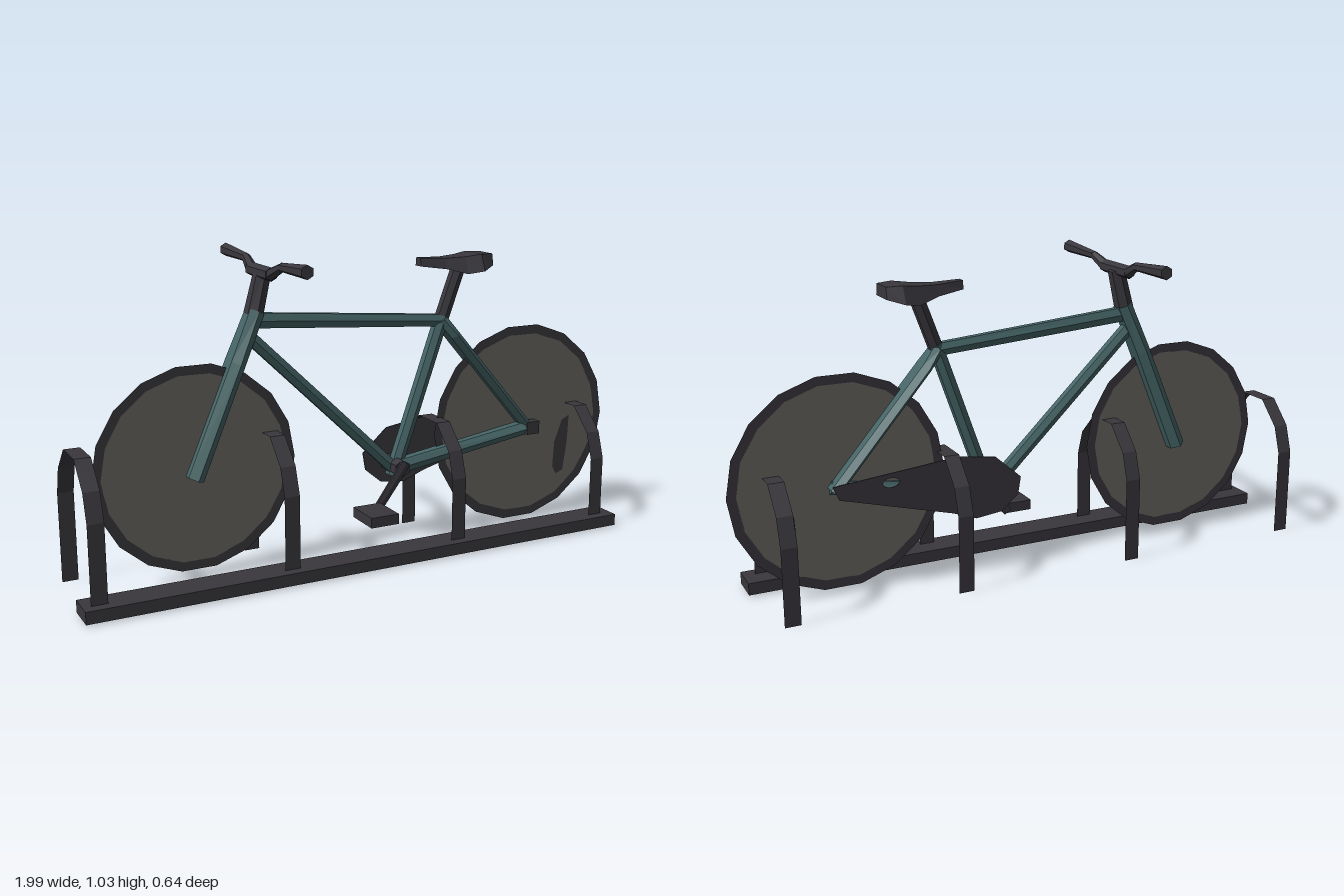
import * as THREE from 'three';

const dark = new THREE.MeshStandardMaterial({ color: 0x39373d, side: THREE.DoubleSide });
dark.name = 'charcoal';
const teal = new THREE.MeshStandardMaterial({ color: 0x456466 });
teal.name = 'frame teal';
const grey = new THREE.MeshStandardMaterial({ color: 0x676661, side: THREE.DoubleSide });
grey.name = 'wheel grey';

// Faceted normals
function facet(geo) {
  const g = geo.index ? geo.toNonIndexed() : geo;
  g.computeVertexNormals();
  return g;
}

// Closed skin through a row of equal-sized rings of points
function loft(rings) {
  const pos = [], n = rings[0].length, last = rings.length - 1;
  const tri = (a, b, c) => pos.push(...a, ...b, ...c);
  for (let i = 0; i < last; i++) {
    for (let j = 0; j < n; j++) {
      const k = (j + 1) % n, p = rings[i], q = rings[i + 1];
      tri(p[j], p[k], q[k]);
      tri(p[j], q[k], q[j]);
    }
  }
  for (let j = 1; j < n - 1; j++) {
    tri(rings[0][0], rings[0][j + 1], rings[0][j]);
    tri(rings[last][0], rings[last][j], rings[last][j + 1]);
  }
  const g = new THREE.BufferGeometry();
  g.setAttribute('position', new THREE.Float32BufferAttribute(pos, 3));
  return facet(g);
}

// Six-sided beam in the side plane; sections are [x, y, z, half thickness, half width]
function beam(sections) {
  const a = sections[0], b = sections[sections.length - 1];
  const len = Math.hypot(b[0] - a[0], b[1] - a[1]);
  const nx = -(b[1] - a[1]) / len, ny = (b[0] - a[0]) / len;
  const profile = [[1, -0.55], [1, 0.55], [0, 1], [-1, 0.55], [-1, -0.55], [0, -1]];
  return loft(sections.map(([x, y, z, t, w]) =>
    profile.map(([u, v]) => [x + nx * t * u, y + ny * t * u, z + w * v])));
}

// Straight six-sided rod between two points
function rod(a, b, r0, r1) {
  const p = new THREE.Vector3(...a), q = new THREE.Vector3(...b);
  const d = q.clone().sub(p);
  const g = new THREE.CylinderGeometry(r1, r0, d.length(), 6);
  g.applyQuaternion(new THREE.Quaternion().setFromUnitVectors(new THREE.Vector3(0, 1, 0), d.normalize()));
  g.translate(...p.add(q).multiplyScalar(0.5).toArray());
  return facet(g);
}

function outline(points) {
  return new THREE.Shape(points.map(([x, y]) => new THREE.Vector2(x, y)));
}

export function createModel() {
  const model = new THREE.Group();
  model.name = 'bicycleInRack';
  const add = (name, geo, mat, parent = model) => {
    const m = new THREE.Mesh(geo, mat);
    m.name = name;
    parent.add(m);
    return m;
  };
  const box = (name, w, h, d, x, y, z, mat) =>
    add(name, new THREE.BoxGeometry(w, h, d), mat).position.set(x, y, z);

  // Wheels: flat disc and tyre ring
  for (const [name, x, y, r] of [['frontWheel', -0.575, 0.375, 0.336], ['rearWheel', 0.64, 0.38, 0.354]]) {
    const wheel = new THREE.Group();
    wheel.name = name;
    wheel.position.set(x, y, 0);
    add('disc', new THREE.CircleGeometry(r - 0.03, 18), grey, wheel);
    add('tyre', new THREE.RingGeometry(r - 0.032, r, 18), dark, wheel);
    model.add(wheel);
  }

  // Dark patch on the rear wheel
  const patch = outline([[0.8, 0.17], [0.83, 0.18], [0.845, 0.28], [0.85, 0.385], [0.82, 0.37], [0.79, 0.29], [0.785, 0.2]]);
  for (const z of [-0.004, 0.004]) add('wheelPatch', new THREE.ShapeGeometry(patch), dark).position.z = z;

  // Frame
  add('topTube', beam([[-0.39, 0.83, -0.005, 0.024, 0.021], [0.31, 0.775, -0.005, 0.02, 0.021]]), teal);
  add('downTube', beam([[-0.4, 0.79, -0.005, 0.02, 0.022], [0.14, 0.27, -0.005, 0.02, 0.022]]), teal);
  add('seatTube', beam([[0.125, 0.255, -0.005, 0.021, 0.024], [0.313, 0.79, -0.005, 0.021, 0.024]]), teal);
  add('fork', beam([[-0.585, 0.345, -0.005, 0.027, 0.05], [-0.435, 0.7, -0.005, 0.025, 0.05],
    [-0.365, 0.86, -0.005, 0.025, 0.036]]), teal);
  add('seatStay', beam([[0.305, 0.78, -0.005, 0.018, 0.03], [0.35, 0.725, -0.005, 0.017, 0.05],
    [0.665, 0.36, -0.005, 0.017, 0.052]]), teal);
  add('chainStay', beam([[0.12, 0.285, 0.005, 0.024, 0.025], [0.67, 0.37, 0.012, 0.022, 0.034]]), teal);
  add('bottomBracket', rod([0.135, 0.29, -0.05], [0.135, 0.29, 0.05], 0.03, 0.03), dark);
  box('axleNut', 0.05, 0.045, 0.035, 0.665, 0.368, 0.03, dark);

  // Seat post and saddle
  add('seatPost', beam([[0.31, 0.78, -0.005, 0.021, 0.022], [0.375, 0.955, -0.005, 0.021, 0.022]]), dark);
  const saddle = [ // x, top, bottom, half width at top and bottom
    [0.222, 0.99, 0.962, 0.014, 0.018], [0.31, 0.985, 0.95, 0.025, 0.035],
    [0.38, 0.988, 0.932, 0.04, 0.06], [0.435, 0.995, 0.94, 0.052, 0.077], [0.485, 0.993, 0.955, 0.04, 0.048]];
  add('saddle', loft(saddle.map(([x, t, b, wt, wb]) =>
    [[x, t, -0.01 - wt], [x, t, -0.01 + wt], [x, b, -0.01 + wb], [x, b, -0.01 - wb]])), dark);

  // Stem and handlebar
  add('stem', beam([[-0.372, 0.845, -0.005, 0.026, 0.034], [-0.338, 0.98, -0.005, 0.024, 0.026]]), dark);
  add('handlebarCentre', rod([-0.345, 0.98, -0.08], [-0.345, 0.98, 0.08], 0.022, 0.022), dark);
  for (const s of [-1, 1]) {
    add('handlebarBend', rod([-0.345, 0.978, s * 0.07], [-0.335, 1.01, s * 0.145], 0.02, 0.014), dark);
    add('grip', rod([-0.335, 1.008, s * 0.135], [-0.335, 1.015, s * 0.32], 0.014, 0.022), dark);
  }

  // Chain guard with its small round hole
  const guard = outline([[0.04, 0.33], [0.05, 0.27], [0.11, 0.22], [0.2, 0.21], [0.28, 0.24],
    [0.66, 0.345], [0.68, 0.39], [0.26, 0.43], [0.13, 0.41]]);
  const hole = new THREE.Path();
  hole.absellipse(0.49, 0.377, 0.028, 0.016, 0, Math.PI * 2, true);
  guard.holes.push(hole);
  add('chainGuard', new THREE.ExtrudeGeometry(guard, { depth: 0.004, bevelEnabled: false, curveSegments: 6 }), dark)
    .position.z = -0.06;

  // Crank and pedal
  add('crank', beam([[0.14, 0.315, 0.064, 0.018, 0.007], [0.03, 0.165, 0.064, 0.015, 0.007]]), dark);
  box('pedal', 0.1, 0.034, 0.13, -0.01, 0.174, 0.133, dark);

  // Rack: rail and four flat-strip hoops
  box('rackRail', 1.92, 0.04, 0.105, -0.04, 0.035, 0.153, dark);
  for (const [x, h] of [[-0.948, 0.475], [-0.325, 0.465], [0.285, 0.437], [0.855, 0.432]]) {
    const path = [[0.17, 0.01], [0.17, h - 0.17], [0.14, h - 0.08], [0.06, h],
      [-0.06, h], [-0.14, h - 0.08], [-0.17, h - 0.17], [-0.17, 0.01]];
    const strip = new THREE.PlaneGeometry(0.052, 1, 1, path.length - 1);
    const p = strip.attributes.position;
    for (let i = 0; i < p.count; i++) {
      const [z, y] = path[Math.floor(i / 2)];
      p.setXYZ(i, x + p.getX(i), y, z);
    }
    // The path starts at the front foot, so turn the faces outward
    const idx = strip.index.array;
    for (let i = 0; i < idx.length; i += 3) [idx[i], idx[i + 1]] = [idx[i + 1], idx[i]];
    add('rackHoop', facet(strip), dark);
  }

  return model;
}
